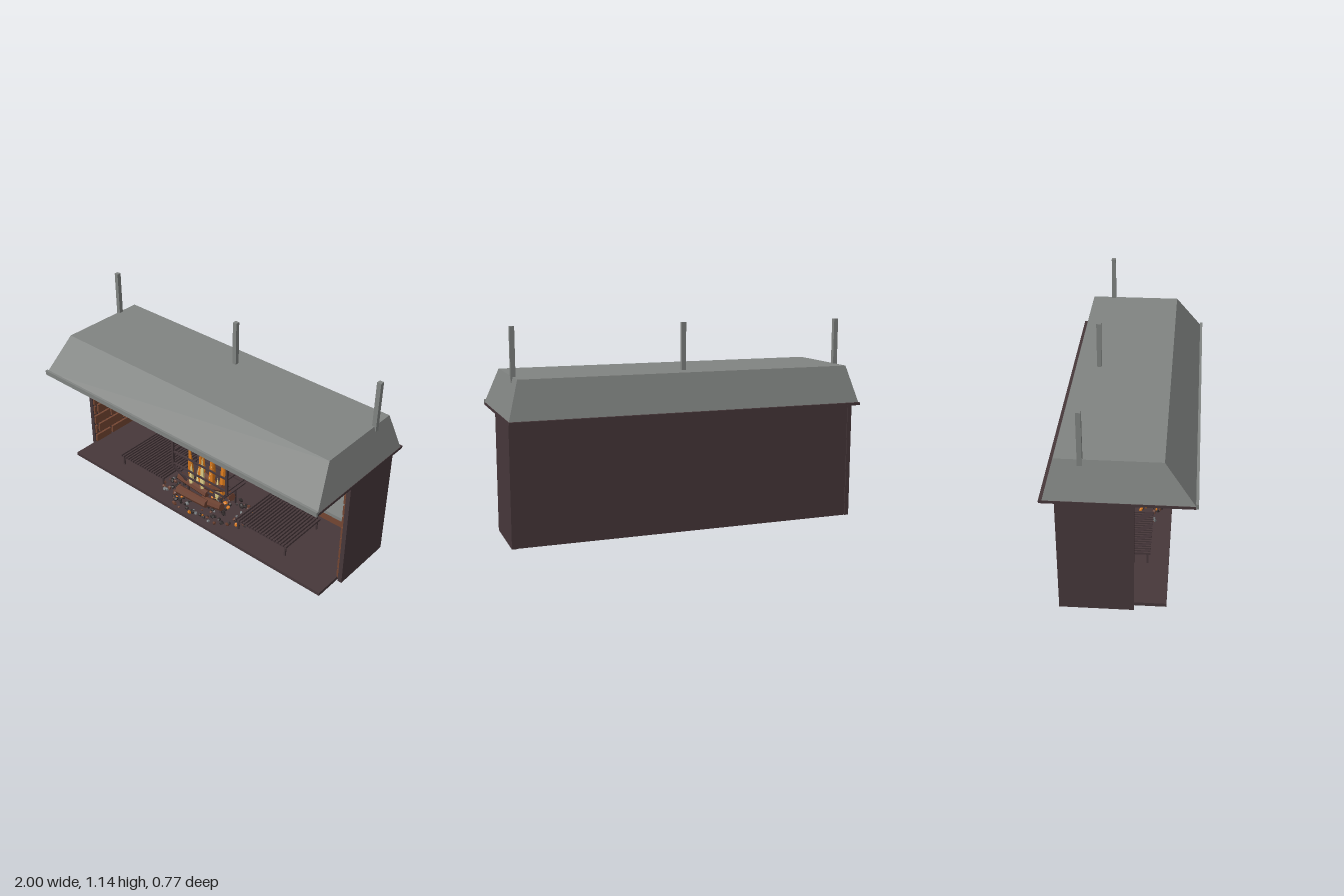
import * as THREE from 'three';

const paint = (name, color) => {
  const m = new THREE.MeshStandardMaterial({ color });
  m.name = name;
  return m;
};

export function createModel() {
  const root = new THREE.Group();
  root.name = 'grillFireplace';
  const steel = paint('greySteel', 0x808381);
  const iron = paint('darkBrownIron', 0x46373a);
  const brickRed = paint('brick', 0x744632);
  const wood = paint('logWood', 0x6a4030);
  const coal = paint('charcoal', 0x2e2828);
  const ash = paint('ashGrey', 0x74787a);
  const orange = paint('flameOrange', 0xd9791c);
  const yellow = paint('flameYellow', 0xe6d58c);
  const food = paint('bakedFood', 0x8a5640);

  let seed = 7;
  const rnd = (a, b) => {
    seed = (seed * 16807) % 2147483647;
    return a + (b - a) * (seed / 2147483647);
  };
  const V = (x, y, z) => new THREE.Vector3(x, y, z);
  const group = (name) => {
    const g = new THREE.Group();
    g.name = name;
    root.add(g);
    return g;
  };
  const add = (parent, name, geo, mat) => {
    const m = new THREE.Mesh(geo, mat);
    m.name = name;
    parent.add(m);
    return m;
  };
  // Box given by its limits on each axis
  const box = (parent, name, mat, x0, x1, y0, y1, z0, z1) => {
    const m = add(parent, name, new THREE.BoxGeometry(x1 - x0, y1 - y0, z1 - z0), mat);
    m.position.set((x0 + x1) / 2, (y0 + y1) / 2, (z0 + z1) / 2);
    return m;
  };
  // Square bar or faceted log between two points
  const span = (parent, name, mat, a, b, geo) => {
    const m = add(parent, name, geo, mat);
    m.position.copy(a).add(b).multiplyScalar(0.5);
    m.quaternion.setFromUnitVectors(V(0, 1, 0), b.clone().sub(a).normalize());
    return m;
  };
  const bar = (parent, name, mat, a, b, t) =>
    span(parent, name, mat, a, b, new THREE.BoxGeometry(t, a.distanceTo(b), t));
  const faceted = (geo) => {
    const g = geo.index ? geo.toNonIndexed() : geo;
    g.computeVertexNormals();
    return g;
  };

  // Housing and hearth slab
  const housing = group('housing');
  box(housing, 'backPanel', iron, -0.965, 0.965, 0, 0.66, -0.305, -0.285);
  for (const s of [-1, 1]) {
    const c = s * 0.9775;
    box(housing, 'sidePanel', iron, c - 0.0125, c + 0.0125, 0, 0.66, -0.31, 0.075);
  }
  box(housing, 'hearthSlab', iron, -0.96, 0.96, 0.005, 0.025, -0.285, 0.24);

  // Brick lining in running bond
  const bricks = (name, from, to, place) => {
    const g = group(name);
    for (let row = 0; row < 9; row++) {
      const y0 = 0.013 + row * 0.0735;
      const y1 = Math.min(y0 + 0.06, 0.66);
      for (let u = from - (row % 2) * 0.11; u < to; u += 0.22) {
        const a = Math.max(u, from), b = Math.min(u + 0.206, to);
        if (b - a > 0.01) place(g, a, b, y0, y1);
      }
    }
  };
  bricks('backBricks', -0.96, 0.96, (g, a, b, y0, y1) =>
    box(g, 'brick', brickRed, a, b, y0, y1, -0.29, -0.275));
  for (const s of [-1, 1]) {
    bricks('sideBricks', -0.275, 0.07, (g, a, b, y0, y1) =>
      box(g, 'brick', brickRed, s * 0.96 - 0.009, s * 0.96 + 0.009, y0, y1, a, b));
  }

  // Hood: a tapered cover on a flat rim, with a front lip
  const hood = group('hood');
  const cover = new THREE.BoxGeometry(2, 1, 1).toNonIndexed();
  const p = cover.attributes.position;
  for (let i = 0; i < p.count; i++) {
    const top = p.getY(i) > 0, front = p.getZ(i) > 0, side = Math.sign(p.getX(i));
    if (top) p.setXYZ(i, side * 0.94, 0.88, front ? 0.217 : -0.313);
    else p.setXYZ(i, side * 0.998, 0.674, front ? 0.372 : -0.368);
  }
  cover.computeVertexNormals();
  add(hood, 'hoodCover', cover, steel);
  box(hood, 'hoodRim', iron, -1, 1, 0.66, 0.675, -0.385, 0.372);
  box(hood, 'frontLip', steel, -1, 1, 0.662, 0.69, 0.37, 0.384);
  for (const x of [-0.938, 0, 0.938])
    box(hood, 'hangingRod', steel, x - 0.0125, x + 0.0125, 0.85, 1.14, -0.198, -0.173);

  // Shelves on brackets
  const shelves = group('shelves');
  for (const s of [-1, 1]) for (const y of [0.27, 0.475]) {
    const c = s * 0.588;
    box(shelves, 'shelf', steel, c - 0.313, c + 0.313, y, y + 0.02, -0.28, -0.07);
    for (const x of [s * 0.37, s * 0.81]) {
      box(shelves, 'bracketUpright', iron, x - 0.006, x + 0.006, y - 0.07, y, -0.277, -0.265);
      bar(shelves, 'bracketBrace', iron, V(x, y - 0.06, -0.268), V(x, y - 0.003, -0.12), 0.01);
    }
  }

  // Cooking grates
  for (const s of [-1, 1]) {
    const g = group('cookingGrate');
    const x0 = s * 0.47 - 0.18;
    for (let i = 0; i <= 18; i++)
      box(g, 'grateBar', iron, x0 + i * 0.02 - 0.005, x0 + i * 0.02 + 0.005, 0.09, 0.103, -0.185, 0.14);
    for (const z of [-0.17, 0.125]) {
      box(g, 'grateCrossBar', iron, x0, x0 + 0.36, 0.084, 0.094, z - 0.006, z + 0.006);
      for (const x of [x0 + 0.01, x0 + 0.35])
        box(g, 'grateLeg', iron, x - 0.005, x + 0.005, 0.02, 0.09, z - 0.005, z + 0.005);
    }
  }

  // Fire basket: posts bending inward at the foot, ringed by bars
  const basket = group('fireBasket');
  const ring = (y, k, t) => {
    const c = [[-1, 1], [1, 1], [1, -1], [-1, -1]].map(([x, z]) => V(x * 0.21 * k, y, 0.02 + z * 0.105 * k));
    c.forEach((a, i) => bar(basket, 'basketRing', iron, a, c[(i + 1) % 4], t));
  };
  ring(0.515, 1, 0.013);
  for (const y of [0.425, 0.335, 0.25]) ring(y, 1, 0.009);
  ring(0.185, 0.87, 0.009);
  ring(0.125, 0.62, 0.011);
  for (const x of [-1, 1]) for (const z of [-1, 1]) {
    const knee = V(x * 0.21, 0.23, 0.02 + z * 0.105);
    const foot = V(x * 0.13, 0.125, 0.02 + z * 0.065);
    bar(basket, 'basketPost', iron, knee, V(knee.x, z > 0 ? 0.52 : 0.66, knee.z), 0.014);
    bar(basket, 'basketPostBend', iron, foot, knee, 0.013);
    bar(basket, 'basketFoot', iron, V(foot.x, 0.02, foot.z), foot, 0.013);
  }
  for (const x of [-0.08, 0, 0.08])
    box(basket, 'basketFloorBar', iron, x - 0.005, x + 0.005, 0.12, 0.13, -0.045, 0.085);

  // Logs
  const logs = group('logs');
  const log = (a, b, r) =>
    span(logs, 'log', wood, a, b, faceted(new THREE.CylinderGeometry(r * 0.85, r, a.distanceTo(b), 7)));
  log(V(-0.17, 0.075, 0.13), V(0.06, 0.08, 0.13), 0.029);
  log(V(0.0, 0.065, 0.1), V(0.16, 0.1, 0.11), 0.028);
  log(V(-0.21, 0.12, 0.07), V(0.03, 0.115, 0.09), 0.026);
  log(V(-0.02, 0.14, 0.06), V(0.15, 0.22, 0.09), 0.025);
  log(V(-0.12, 0.16, 0.0), V(0.1, 0.13, 0.02), 0.027);
  log(V(-0.06, 0.09, -0.04), V(0.17, 0.13, 0.03), 0.028);

  // Flames: slim faceted tongues leaning slightly
  const flames = group('flames');
  const tongue = [[0, 0], [0.7, 0.12], [1, 0.3], [0.6, 0.62], [0, 1]];
  const flame = (mat, x, z, y0, h, r, lean) => {
    const pts = tongue.map(([a, b]) => new THREE.Vector2(a * r, b * h));
    const m = add(flames, 'flame', faceted(new THREE.LatheGeometry(pts, 5)), mat);
    m.position.set(x, y0, z);
    m.rotation.set(0, rnd(0, 3), lean);
  };
  [[-0.115, 0.32], [-0.09, 0.27], [-0.06, 0.31], [-0.035, 0.34], [-0.01, 0.36], [0.02, 0.32],
    [0.045, 0.26], [0.075, 0.29], [0.1, 0.27], [0.13, 0.33]].forEach(([x, h], i) =>
    flame(orange, x, [0.07, 0.0, 0.04][i % 3], 0.1, h, 0.02, -x * 0.4));
  [[-0.1, 0.18], [-0.07, 0.15], [-0.015, 0.27], [0.03, 0.22], [0.1, 0.17]].forEach(([x, h], i) =>
    flame(yellow, x, i % 2 ? 0.055 : 0.085, 0.1, h, 0.017, -x * 0.3));

  // Coals and embers scattered on the hearth
  const embers = group('coals');
  for (let i = 0; i < 170; i++) {
    const a = rnd(0, Math.PI * 2), d = Math.sqrt(rnd(0, 1)), r = rnd(0.007, 0.014);
    const mat = [coal, coal, wood, coal, ash, coal, wood, orange][i % 8];
    const m = add(embers, 'coal', new THREE.DodecahedronGeometry(r), mat);
    m.position.set(Math.cos(a) * d * 0.35, 0.025 + r * 0.6, 0.06 + Math.sin(a) * d * 0.16);
    m.rotation.set(rnd(0, 3), rnd(0, 3), 0);
    m.scale.set(1.3, 0.8, 1);
  }

  // Food on the shelves
  const goods = group('food');
  const lump = (name, mat, x, y, z, sx, sy, sz) => {
    const m = add(goods, name, new THREE.IcosahedronGeometry(1, 1), mat);
    m.position.set(x, y, z);
    m.scale.set(sx, sy, sz);
  };
  for (const [x, y] of [[-0.67, 0.495], [-0.56, 0.495], [-0.75, 0.29], [-0.63, 0.29]])
    lump('loaf', food, x, y + 0.017, -0.17, 0.065, 0.021, 0.045);
  for (let i = 0; i < 5; i++) for (let j = 0; j < 2; j++)
    lump('greyRoll', ash, 0.54 + i * 0.04, 0.518 + (i % 2) * 0.008, -0.2 + j * 0.06, 0.022, 0.024, 0.026);
  for (const [x, y, z] of [[0.5, 0, -0.16], [0.54, 0, -0.2], [0.58, 0, -0.16], [0.54, 0, -0.125], [0.52, 0.032, -0.16], [0.56, 0.032, -0.165]])
    lump('potato', food, x, 0.31 + y, z, 0.024, 0.021, 0.023);

  return root;
}
